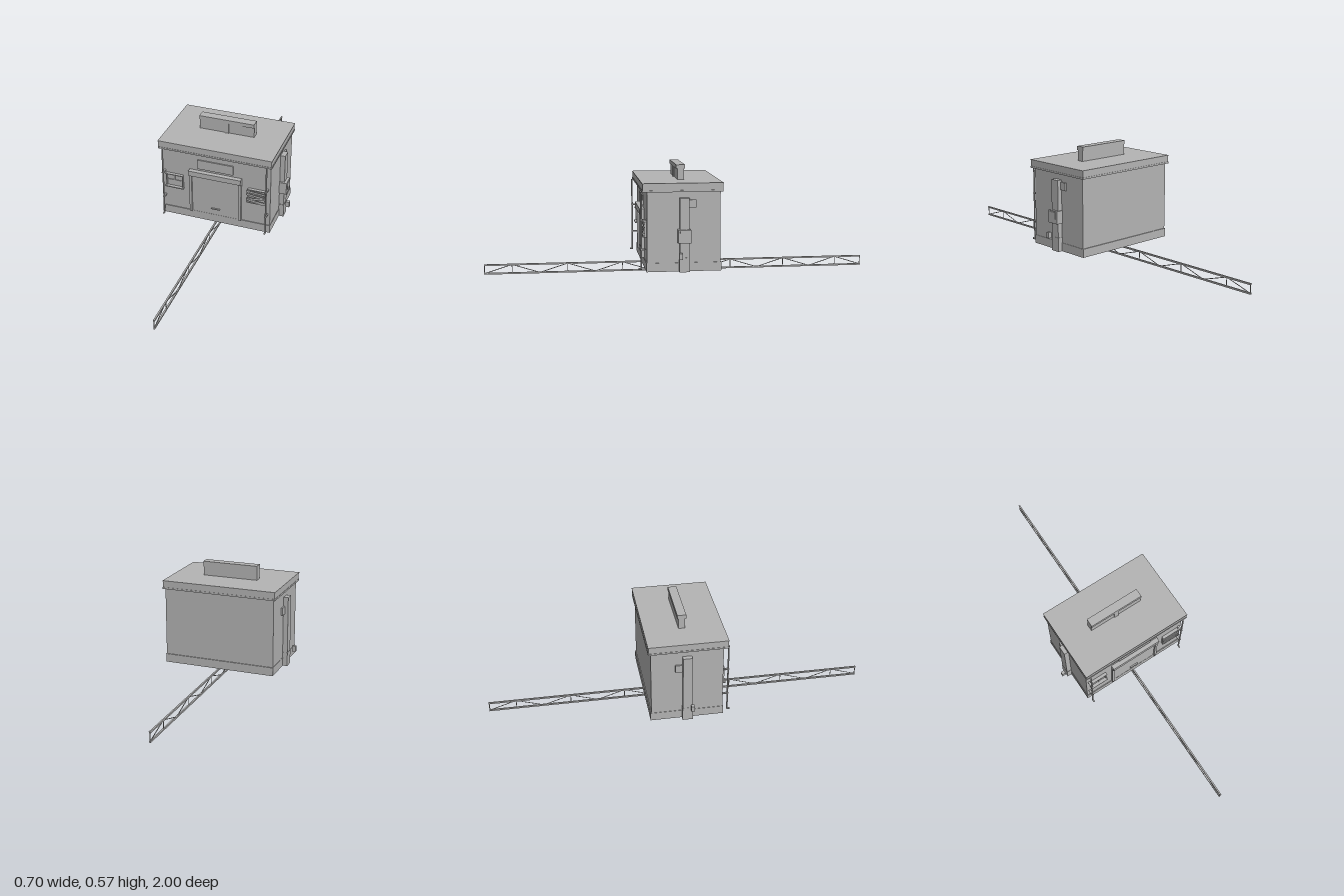
import * as THREE from 'three';

export function createModel() {
  const model = new THREE.Group();
  const grey = new THREE.MeshStandardMaterial({ color: 0xb4b4b4 });
  grey.name = 'plain grey';

  // Box given by its minimum and maximum on each axis
  function box(name, x0, x1, y0, y1, z0, z1, parent = model) {
    const mesh = new THREE.Mesh(new THREE.BoxGeometry(x1 - x0, y1 - y0, z1 - z0), grey);
    mesh.position.set((x0 + x1) / 2, (y0 + y1) / 2, (z0 + z1) / 2);
    mesh.name = name;
    parent.add(mesh);
    return mesh;
  }

  // Square or round bar between two points
  function bar(name, a, b, radius, sides, parent = model) {
    const from = new THREE.Vector3(...a), to = new THREE.Vector3(...b);
    const dir = to.clone().sub(from);
    const mesh = new THREE.Mesh(new THREE.CylinderGeometry(radius, radius, dir.length(), sides), grey);
    mesh.position.copy(from).add(to).multiplyScalar(0.5);
    mesh.quaternion.setFromUnitVectors(new THREE.Vector3(0, 1, 0), dir.normalize());
    mesh.name = name;
    parent.add(mesh);
    return mesh;
  }

  // Walls and hollow plinth
  const front = 0.184;
  box('walls', -0.292, 0.292, 0.085, 0.455, -0.182, front);
  for (const s of [-1, 1]) {
    box('plinthEnd', s * 0.28 - 0.014, s * 0.28 + 0.014, 0.053, 0.097, -0.186, 0.188);
    box('plinthSide', -0.294, 0.294, 0.053, 0.097, s * 0.174 - 0.013, s * 0.174 + 0.014);
  }

  // Roof with its cornice and raised vent
  box('roofTrim', -0.302, 0.302, 0.451, 0.46, -0.195, 0.208);
  box('cornice', -0.3, 0.3, 0.46, 0.491, -0.193, 0.206);
  box('roofCap', -0.302, 0.302, 0.491, 0.495, -0.195, 0.208);
  box('roofVent', -0.147, 0.147, 0.495, 0.55, -0.019, 0.015);
  box('ventCap', -0.147, 0.147, 0.55, 0.57, -0.024, 0.021);
  box('ventDivider', -0.012, 0.012, 0.495, 0.55, 0.014, 0.02);

  // Door with frame, hood and handle
  box('doorPanel', -0.127, 0.127, 0.097, 0.32, front, front + 0.003);
  for (const s of [-1, 1]) {
    box('doorPost', s * 0.1335 - 0.0065, s * 0.1335 + 0.0065, 0.097, 0.32, front, 0.197);
  }
  box('doorHood', -0.14, 0.14, 0.32, 0.348, front, 0.208);
  box('doorHandle', -0.023, 0.023, 0.131, 0.136, front, 0.194);
  box('signBoard', -0.096, 0.095, 0.36, 0.412, front, 0.19);

  // Windows
  for (const s of [-1, 1]) {
    const win = new THREE.Group();
    win.name = s < 0 ? 'rightWindow' : 'leftWindow';
    win.position.x = s * 0.222;
    model.add(win);
    box('pane', -0.043, 0.043, 0.228, 0.299, front, front + 0.002, win);
    box('lintel', -0.047, 0.047, 0.298, 0.302, front, 0.2, win);
    box('sill', -0.05, 0.05, 0.224, 0.229, front, 0.203, win);
    for (const t of [-1, 1]) {
      box('windowPost', t * 0.044 - 0.0025, t * 0.044 + 0.0025, 0.229, 0.298, front, 0.195, win);
    }
    box('mullion', -0.0015, 0.0015, 0.229, 0.298, front, 0.189, win);
    box('crossbar', -0.042, 0.042, 0.262, 0.265, front, 0.189, win);
  }
  // Boards nailed across one window
  [[0.285, -0.07], [0.267, -0.11], [0.253, 0.12], [0.238, -0.09]].forEach(([y, tilt], i) => {
    const plank = box('windowBoard', 0.17, 0.274, y - 0.0055, y + 0.0055, 0.195 + i * 0.002, 0.199 + i * 0.002);
    plank.rotation.z = tilt;
  });

  for (const s of [-1, 1]) {
    // Downpipes at the front corners
    const px = s * 0.277, pz = 0.212;
    bar('downpipe', [px, 0.068, pz], [px, 0.452, pz], 0.004, 12);
    bar('downpipeFoot', [px, 0.067, pz - 0.002], [px, 0.067, 0.226], 0.0045, 12);
    for (const y of [0.165, 0.313]) {
      box('pipeClamp', px - 0.0055, px + 0.0055, y - 0.003, y + 0.003, front, pz + 0.005);
    }

    // Side ducts
    const side = new THREE.Group();
    side.name = s < 0 ? 'rightDuct' : 'leftDuct';
    model.add(side);
    const sideBox = (name, x0, x1, ...rest) =>
      box(name, Math.min(s * x0, s * x1), Math.max(s * x0, s * x1), ...rest, side);
    sideBox('duct', 0.29, 0.317, 0.12, 0.422, -0.024, 0.024);
    sideBox('ductBase', 0.292, 0.318, 0.053, 0.126, -0.026, 0.026);
    sideBox('smallBox', 0.33, 0.349, 0.122, 0.152, 0.014, 0.031);
    const y0 = s < 0 ? 0.335 : 0.372;
    sideBox('wallBracket', 0.29, 0.3, y0, y0 + 0.04, -0.06, -0.024);
  }
  // Meter box on one duct
  box('meterBox', 0.293, 0.331, 0.2, 0.266, -0.031, 0.034);
  box('meterCover', 0.331, 0.334, 0.222, 0.26, -0.022, 0.025);

  // Underfloor beam, plate and hanging rod
  box('floorBeam', -0.317, 0.317, 0.054, 0.072, -0.024, 0.024);
  box('floorPlate', -0.147, 0.147, 0.043, 0.053, -0.15, 0.15);
  box('plateBar', -0.147, 0.147, 0.032, 0.043, -0.022, 0.022);
  bar('hangingRod', [0.027, 0.01, 0], [0.027, 0.034, 0], 0.0012, 8);

  // Long lattice truss with alternating diagonals
  const truss = new THREE.Group();
  truss.name = 'truss';
  model.add(truss);
  const low = 0.004, high = 0.049;
  for (const y of [low, high]) box('chord', -0.004, 0.004, y - 0.004, y + 0.004, -1, 1, truss);
  for (let i = 0; i < 14; i++) {
    const za = -1 + i / 7, zb = za + 1 / 7, up = i % 2 === 0;
    bar('diagonal', [0, up ? low : high, za], [0, up ? high : low, zb], 0.002, 6, truss);
    if (!up) bar('upright', [0, low, za], [0, high, za], 0.002, 6, truss);
  }
  for (const s of [-1, 1]) bar('endUpright', [0, low, s * 0.997], [0, high, s * 0.997], 0.0025, 6, truss);

  return model;
}
